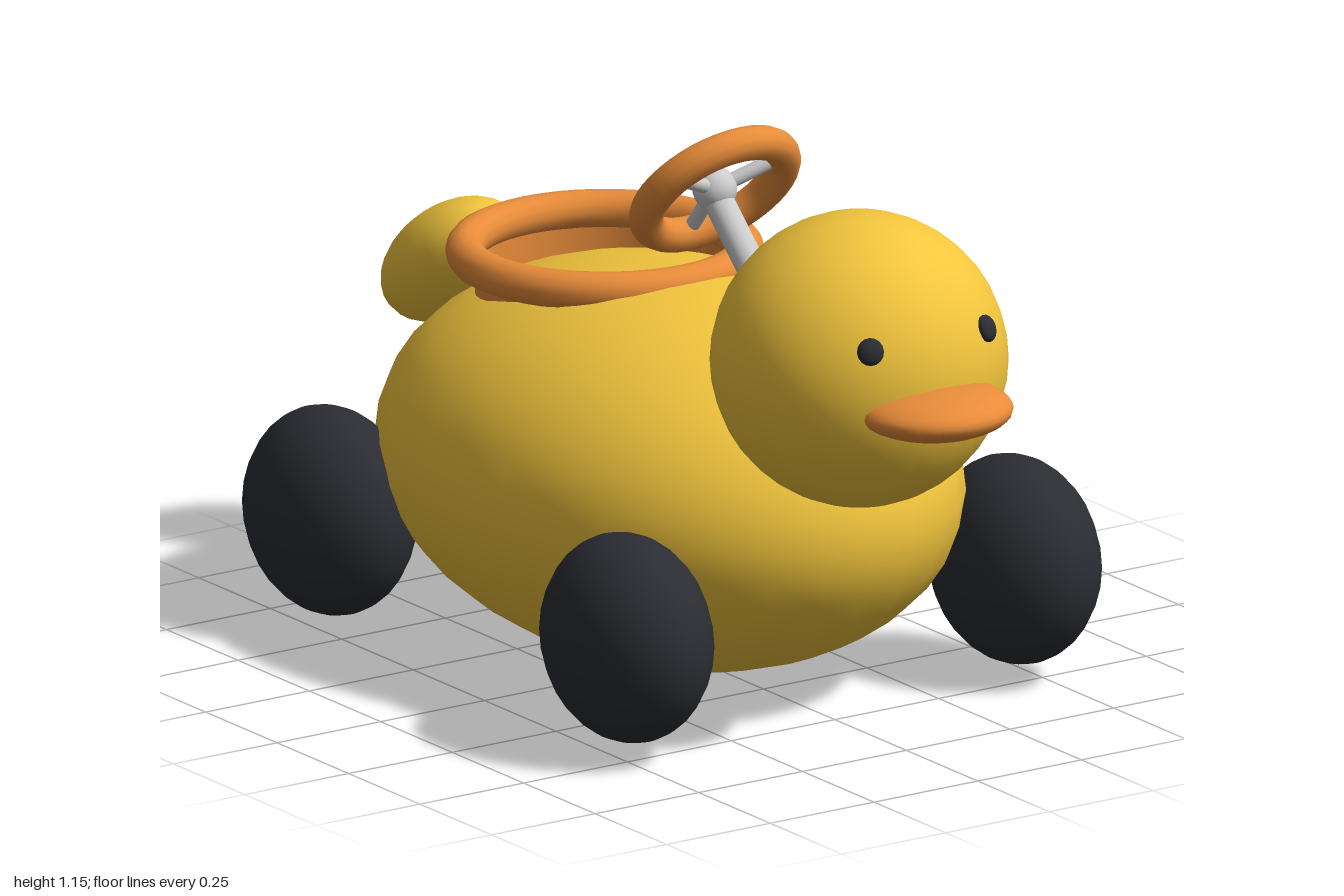
import * as THREE from 'three';

const mat = (color) => new THREE.MeshStandardMaterial({ color });

export function createModel() {
  const model = new THREE.Group();
  const yellow = mat(0xf2c53d), orange = mat(0xe88c3a), dark = mat(0x2b2d33), grey = mat(0xcccccc);
  const orangeThin = mat(0xe88c3a);
  orangeThin.side = THREE.DoubleSide;

  const add = (name, geometry, material, pos = [0, 0, 0], parent = model) => {
    const mesh = new THREE.Mesh(geometry, material);
    mesh.name = name;
    mesh.position.set(...pos);
    parent.add(mesh);
    return mesh;
  };
  const ellipsoid = (name, radii, pos, material, w = 32, h = 20) => {
    const mesh = add(name, new THREE.SphereGeometry(1, w, h), material, pos);
    mesh.scale.set(...radii);
    return mesh;
  };
  // Round bar between two points
  const bar = (name, a, b, radius, parent = model) => {
    const from = new THREE.Vector3(...a), to = new THREE.Vector3(...b);
    const dir = to.clone().sub(from);
    const mesh = add(name, new THREE.CylinderGeometry(radius, radius, dir.length(), 16), grey,
      from.clone().add(to).multiplyScalar(0.5).toArray(), parent);
    mesh.quaternion.setFromUnitVectors(new THREE.Vector3(0, 1, 0), dir.normalize());
  };

  // Body, head, beak and tail
  ellipsoid('body', [0.52, 0.393, 0.708], [0, 0.397, -0.075], yellow);
  ellipsoid('head', [0.297, 0.297, 0.297], [0, 0.777, 0.585], yellow);
  ellipsoid('beak', [0.16, 0.053, 0.15], [0, 0.738, 0.85], orange, 24, 16);
  ellipsoid('tail', [0.133, 0.105, 0.19], [0, 0.62, -0.84], yellow, 24, 16).rotation.x = -0.7;

  // Eyes, set flat against the head
  for (const s of [1, -1]) {
    const eye = ellipsoid(s > 0 ? 'leftEye' : 'rightEye', [0.027, 0.028, 0.016], [s * 0.14, 0.876, 0.828], dark, 12, 8);
    eye.rotation.set(-0.35, s * 0.5, 0, 'YXZ');
  }

  // Balloon wheels
  for (const [end, z] of [['front', 0.45], ['rear', -0.59]])
    for (const s of [1, -1])
      ellipsoid(`${end}${s > 0 ? 'Left' : 'Right'}Wheel`, [0.153, 0.212, 0.212], [s * 0.467, 0.244, z], dark, 24, 16);

  // Seat: rounded rim on a short open collar
  add('seatRim', new THREE.TorusGeometry(0.278, 0.039, 14, 48), orange, [0, 0.775, -0.305]).rotation.x = Math.PI / 2;
  add('seatCollar', new THREE.CylinderGeometry(0.258, 0.258, 0.13, 40, 1, true), orangeThin, [0, 0.71, -0.305]);

  // Steering column and tilted steering wheel
  bar('steeringColumn', [0, 0.99, 0.08], [0, 0.69, 0.4], 0.031);
  const steering = new THREE.Group();
  steering.name = 'steeringWheel';
  steering.position.set(0, 1, 0.08);
  steering.rotation.x = 0.69;
  model.add(steering);
  add('steeringRim', new THREE.TorusGeometry(0.152, 0.035, 14, 40), orange, [0, 0, 0], steering);
  add('steeringHub', new THREE.SphereGeometry(0.045, 20, 14), grey, [0, 0, 0], steering);
  for (let i = 0; i < 3; i++) {
    const a = -Math.PI / 2 + (i * Math.PI * 2) / 3;
    bar('steeringSpoke', [0, 0, 0], [Math.cos(a) * 0.15, Math.sin(a) * 0.15, 0], 0.015, steering);
  }
  return model;
}
